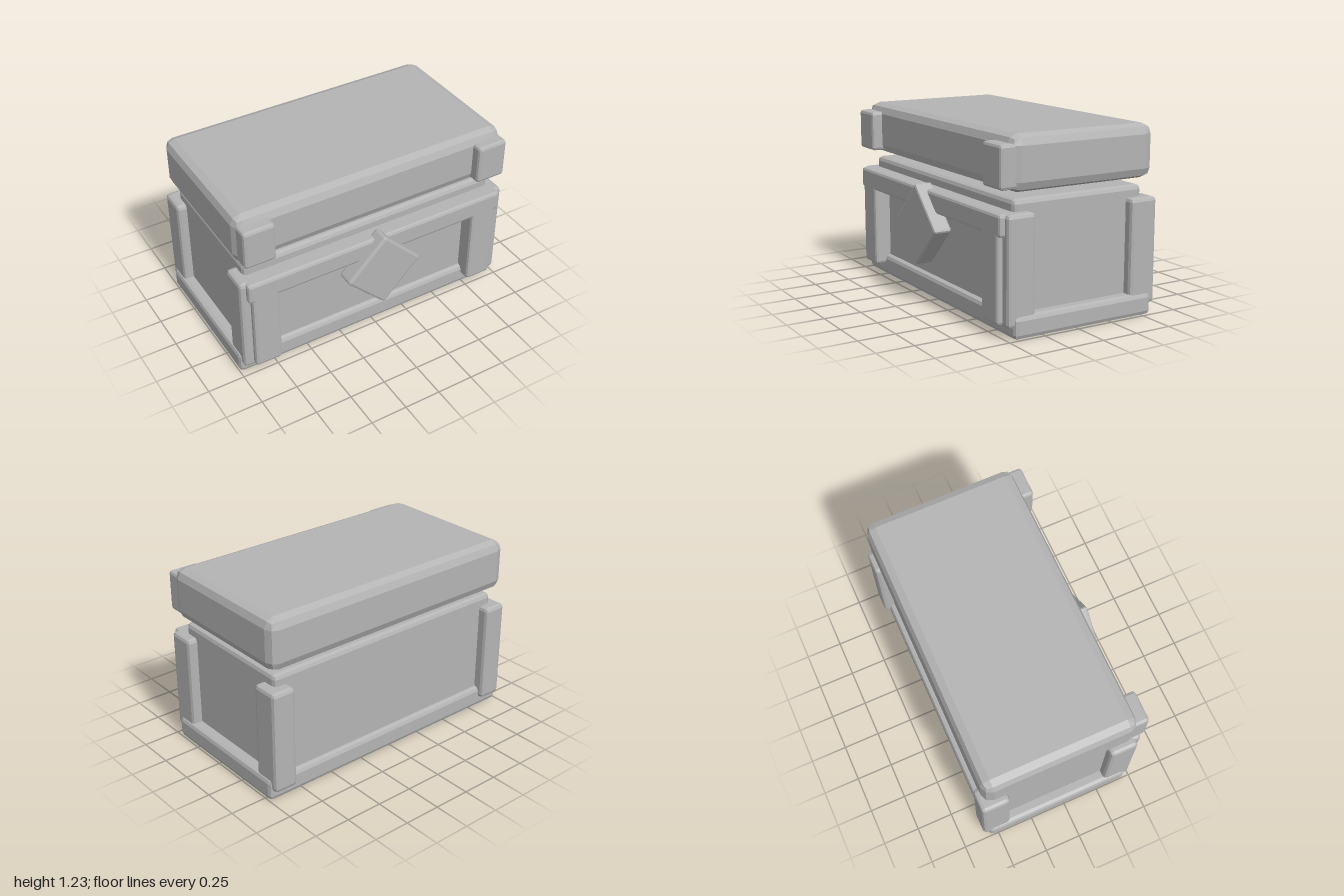
import * as THREE from 'three';

const stone = new THREE.MeshStandardMaterial({ color: 0xb4b4b4, flatShading: true });
stone.name = 'plain grey';

// Box from its min and max corners, with every edge rounded in two steps
function bevelBox(name, min, max, r) {
  const g = new THREE.BoxGeometry(2, 2, 2, 3, 3, 3);
  const p = g.attributes.position;
  const lo = new THREE.Vector3(...min), hi = new THREE.Vector3(...max);
  const core = hi.clone().sub(lo).multiplyScalar(0.5).subScalar(r);
  const v = new THREE.Vector3(), n = new THREE.Vector3();
  const outer = (c) => (Math.abs(c) > 0.5 ? Math.sign(c) : 0);
  for (let i = 0; i < p.count; i++) {
    v.fromBufferAttribute(p, i);
    n.set(outer(v.x), outer(v.y), outer(v.z)).normalize().multiplyScalar(r);
    v.set(Math.sign(v.x), Math.sign(v.y), Math.sign(v.z)).multiply(core).add(n);
    p.setXYZ(i, v.x, v.y, v.z);
  }
  g.computeVertexNormals();
  const mesh = new THREE.Mesh(g, stone);
  mesh.name = name;
  mesh.position.copy(lo).add(hi).multiplyScalar(0.5);
  return mesh;
}

export function createModel() {
  const chest = new THREE.Group();
  chest.name = 'chest';

  // Body on its plinth
  chest.add(bevelBox('plinth', [-1, 0, -0.56], [1, 0.147, 0.46], 0.03));
  chest.add(bevelBox('body', [-0.92, 0.03, -0.523], [0.92, 0.837, 0.424], 0.03));

  // Floating lid
  chest.add(bevelBox('lid', [-0.973, 0.88, -0.575], [0.973, 1.226, 0.465], 0.065));

  // Front top rail
  chest.add(bevelBox('frontRail', [-0.945, 0.622, 0.4], [0.945, 0.763, 0.537], 0.02));

  // Mirrored parts; s = 1 is the model's left
  for (const s of [-1, 1]) {
    const pair = (name, x0, x1, y0, y1, z0, z1, r) =>
      chest.add(bevelBox(name, [Math.min(s * x0, s * x1), y0, z0], [Math.max(s * x0, s * x1), y1, z1], r));
    pair('frontCornerPost', 0.82, 0.985, 0.07, 0.763, 0.305, 0.5, 0.025);
    pair('backCornerPost', 0.82, 0.985, 0.07, 0.763, -0.598, -0.402, 0.025);
    pair('frontPillar', 0.73, 0.92, 0.083, 0.74, 0.4, 0.537, 0.02);
    pair('lidClip', 0.742, 0.957, 0.905, 1.175, 0.41, 0.537, 0.02);
  }

  // Diamond lock plate
  const h = 0.194;
  const lock = bevelBox('diamondLock', [-h, 0.53 - h, 0.475], [h, 0.53 + h, 0.598], 0.016);
  lock.rotation.z = Math.PI / 4;
  chest.add(lock);

  return chest;
}
